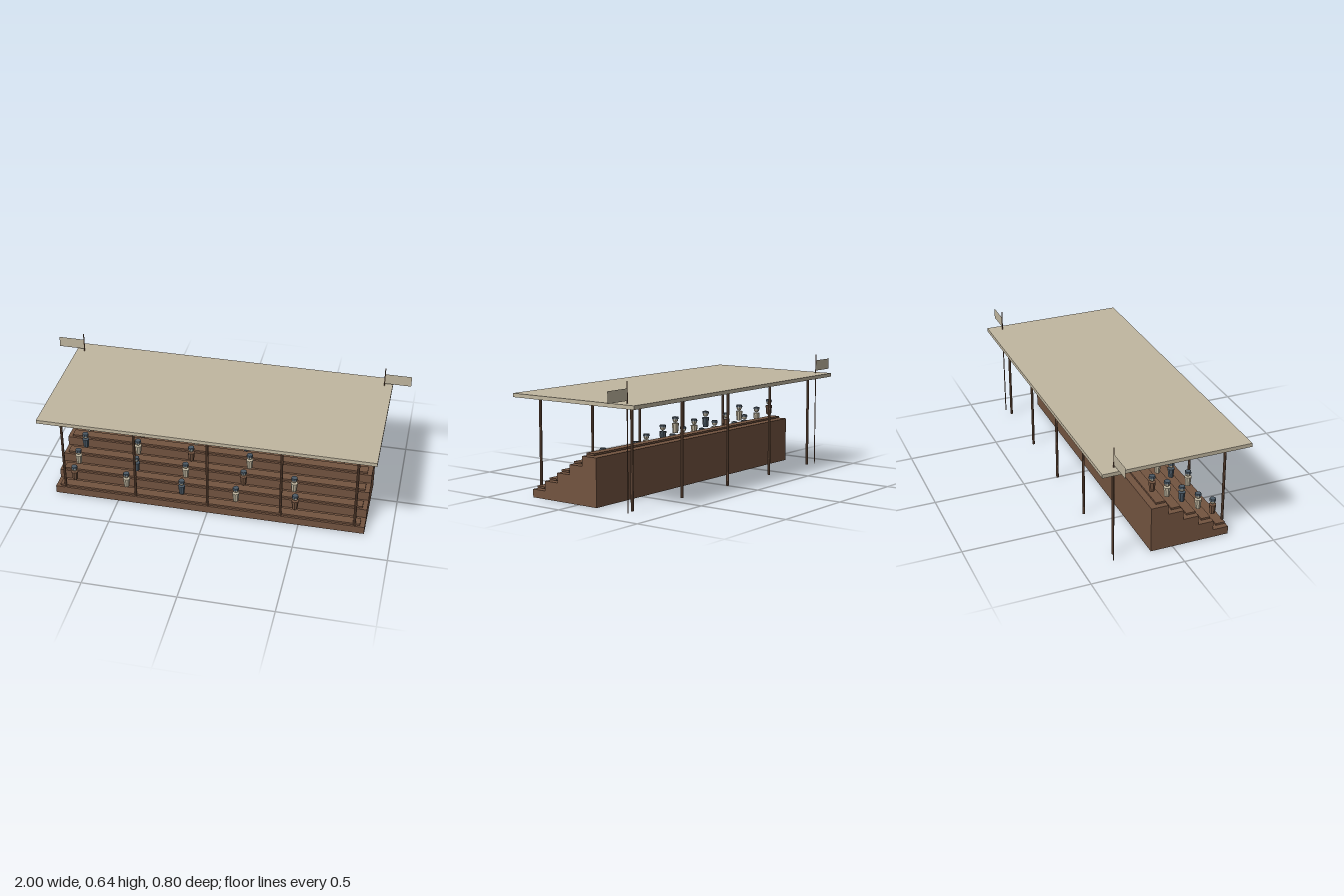
import * as THREE from 'three';

const material = (name, color) => {
  const m = new THREE.MeshStandardMaterial({ color, flatShading: true });
  m.name = name;
  return m;
};

export function createModel() {
  const wood = material('brown wood', 0x735440);
  const cream = material('cream', 0xc1b7a0);
  const blue = material('slate blue', 0x4c5a66);
  const flagCloth = cream.clone();
  flagCloth.name = 'cream cloth';
  flagCloth.side = THREE.DoubleSide;

  const model = new THREE.Group();
  model.name = 'grandstand';
  const add = (parent, name, geometry, mat, x, y, z) => {
    const mesh = new THREE.Mesh(geometry, mat);
    mesh.name = name;
    mesh.position.set(x, y, z);
    parent.add(mesh);
    return mesh;
  };

  const rows = 5, rise = 0.052, run = 0.085;
  const frontZ = 0.312, backZ = -0.12, halfWidth = 0.855;
  const stepTop = (r) => 0.043 + r * rise;

  // Stepped terrace: side profile extruded along x
  const profile = new THREE.Shape();
  profile.moveTo(-frontZ, 0);
  for (let r = 0; r < rows; r++) {
    profile.lineTo(-frontZ + r * run, stepTop(r));
    profile.lineTo(r < rows - 1 ? -frontZ + (r + 1) * run : -backZ, stepTop(r));
  }
  profile.lineTo(-backZ, 0);
  const terrace = new THREE.ExtrudeGeometry(profile, { depth: 2 * halfWidth, bevelEnabled: false });
  terrace.translate(0, 0, -halfWidth).rotateY(Math.PI / 2);
  add(model, 'terrace', terrace, wood, 0, 0, 0);

  // One bench per step
  const bench = new THREE.BoxGeometry(1.66, 0.01, 0.051);
  for (let r = 0; r < rows; r++) {
    add(model, 'bench', bench, wood, 0, stepTop(r) + 0.009, 0.28 - r * run);
  }

  // Flat roof on front and back posts
  add(model, 'roof', new THREE.BoxGeometry(1.8, 0.02, 0.8), cream, 0, 0.527, 0);
  const post = new THREE.CylinderGeometry(0.0075, 0.0075, 0.518, 8);
  for (let i = -2; i <= 2; i++) {
    for (const z of [0.304, -0.304]) add(model, 'roofPost', post, wood, i * 0.4, 0.259, z);
  }

  // Flagpoles with flags flying outwards
  const pole = new THREE.CylinderGeometry(0.003, 0.003, 0.645, 6);
  const flag = new THREE.PlaneGeometry(0.145, 0.06);
  for (const side of [-1, 1]) {
    add(model, 'flagpole', pole, wood, side * 0.855, 0.3225, -0.322);
    add(model, 'flag', flag, flagCloth, side * 0.9275, 0.58, -0.322);
  }

  // Spectators: tapered coat, round head, flat hat
  const coat = new THREE.CylinderGeometry(0.0195, 0.0145, 0.052, 8);
  const head = new THREE.SphereGeometry(0.0155, 8, 6);
  const hat = new THREE.CylinderGeometry(0.0165, 0.0185, 0.012, 8);
  const coatColours = [wood, cream, blue, cream];
  const seats = [
    [-0.755, -0.46, -0.15, 0.15, 0.473],
    [-0.755, -0.425, -0.147, 0.175, 0.453],
    [-0.738, -0.436, -0.135, 0.192],
    [-0.742, -0.432, -0.125, 0.156],
    [-0.745, -0.44, -0.117, 0.155],
  ];
  seats.forEach((row, r) => row.forEach((x, c) => {
    const person = new THREE.Group();
    person.name = 'spectator';
    person.position.set(x, stepTop(r), 0.27 - r * run);
    add(person, 'coat', coat, coatColours[(r + c) % 4], 0, 0.06, 0);
    add(person, 'head', head, cream, 0, 0.105, 0);
    add(person, 'hat', hat, blue, 0, 0.115, 0);
    model.add(person);
  }));

  return model;
}
